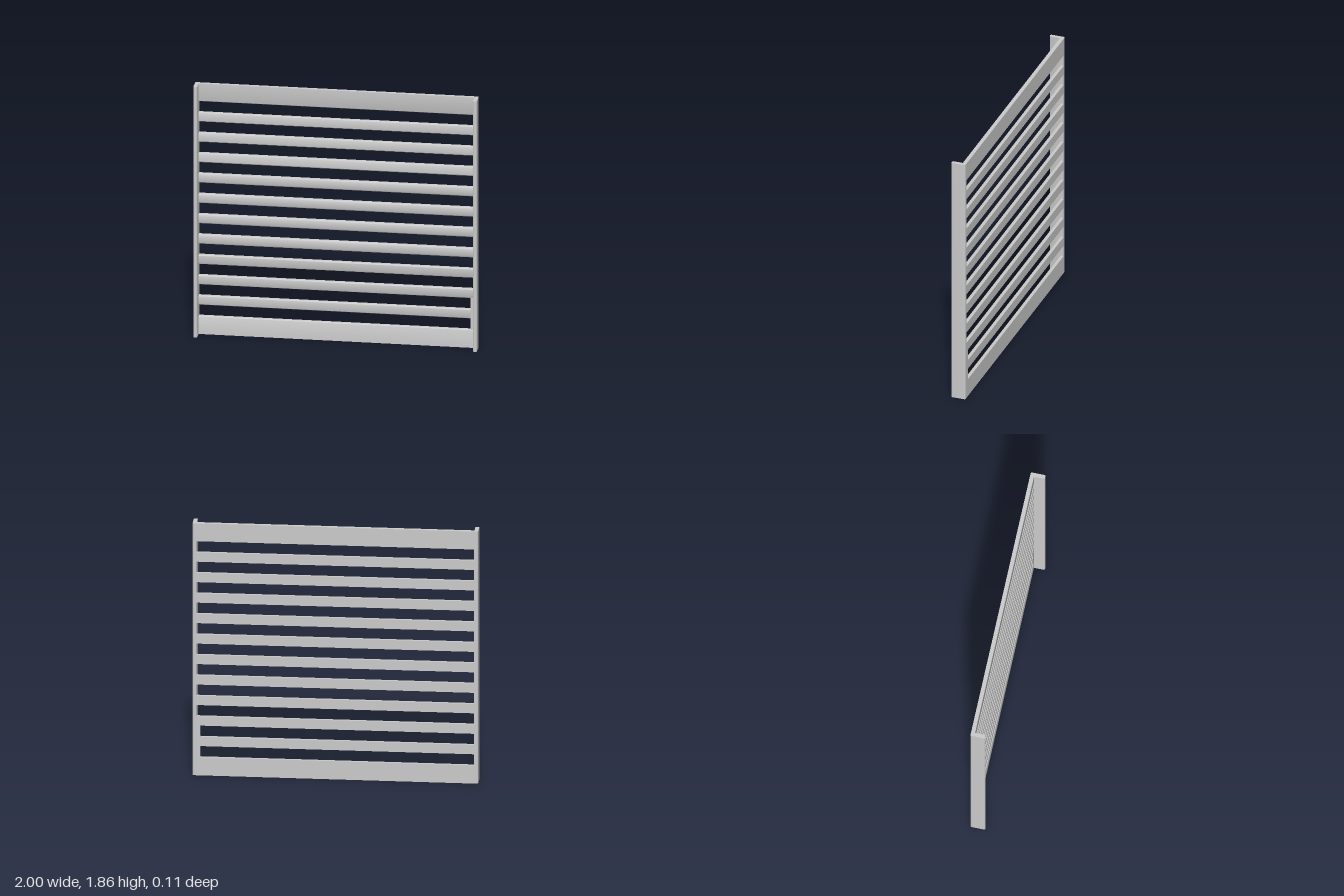
import * as THREE from 'three';
import { toCreasedNormals } from 'three/addons/utils/BufferGeometryUtils.js';

const HEIGHT = 1.858, BACK = -0.053, FRONT = 0.053, THICK = 0.028;
const INNER = 0.972, PITCH = 0.151, SLOTS = 11;
const SLOT_BOTTOM = 0.134, SLOT_HEIGHT = 0.082;

// Rectangle with one radius per corner: lower left, lower right, upper right, upper left
function roundedRect(x0, y0, x1, y1, [a, b, c, d]) {
  const s = new THREE.Shape();
  s.moveTo(x0 + a, y0);
  s.lineTo(x1 - b, y0);
  if (b) s.absarc(x1 - b, y0 + b, b, -Math.PI / 2, 0);
  s.lineTo(x1, y1 - c);
  if (c) s.absarc(x1 - c, y1 - c, c, 0, Math.PI / 2);
  s.lineTo(x0 + d, y1);
  if (d) s.absarc(x0 + d, y1 - d, d, Math.PI / 2, Math.PI);
  s.lineTo(x0, y0 + a);
  if (a) s.absarc(x0 + a, y0 + a, a, Math.PI, Math.PI * 1.5);
  return s;
}

export function createModel() {
  const group = new THREE.Group();
  const material = new THREE.MeshStandardMaterial({ color: 0xcccccc });

  function add(name, geometry) {
    const mesh = new THREE.Mesh(toCreasedNormals(geometry, 0.6), material);
    mesh.name = name;
    group.add(mesh);
    return mesh;
  }
  const extrude = (shape, depth) =>
    new THREE.ExtrudeGeometry(shape, { depth, bevelEnabled: false, curveSegments: 4 });

  // Horizontal bar spanning the frame, with softened front edges
  function bar(name, y0, y1, rBottom, rTop) {
    const shape = roundedRect(-BACK - THICK, y0, -BACK, y1, [rBottom, 0, 0, rTop]);
    const geometry = extrude(shape, 2 * INNER);
    geometry.rotateY(Math.PI / 2).translate(-INNER, 0, 0);
    add(name, geometry);
  }

  const r = 0.008;
  bar('bottomRail', 0, SLOT_BOTTOM, 0, r);
  for (let i = 1; i < SLOTS; i++) {
    const top = SLOT_BOTTOM + i * PITCH;
    bar('slat' + i, top - PITCH + SLOT_HEIGHT, top, r, r);
  }
  bar('topRail', SLOT_BOTTOM + (SLOTS - 1) * PITCH + SLOT_HEIGHT, HEIGHT, r, 0);

  // Side flanges reaching forward, rounded on the outer back corner and the front lip
  for (const [name, side] of [['leftFlange', 1], ['rightFlange', -1]]) {
    const x0 = side > 0 ? INNER : -1, x1 = side > 0 ? 1 : -INNER;
    const radii = [0.01, 0.01, side > 0 ? 0.01 : 0, side > 0 ? 0 : 0.01];
    const geometry = extrude(roundedRect(x0, -FRONT, x1, -BACK, radii), HEIGHT);
    geometry.rotateX(-Math.PI / 2);
    add(name, geometry);
  }

  // Web that shortens the two lowest slots on the left
  const lipWidth = 0.026, lipHeight = PITCH + SLOT_HEIGHT;
  add('slotEndWeb', new THREE.BoxGeometry(lipWidth, lipHeight, THICK))
    .position.set(INNER - lipWidth / 2, SLOT_BOTTOM + lipHeight / 2, BACK + THICK / 2);

  return group;
}
